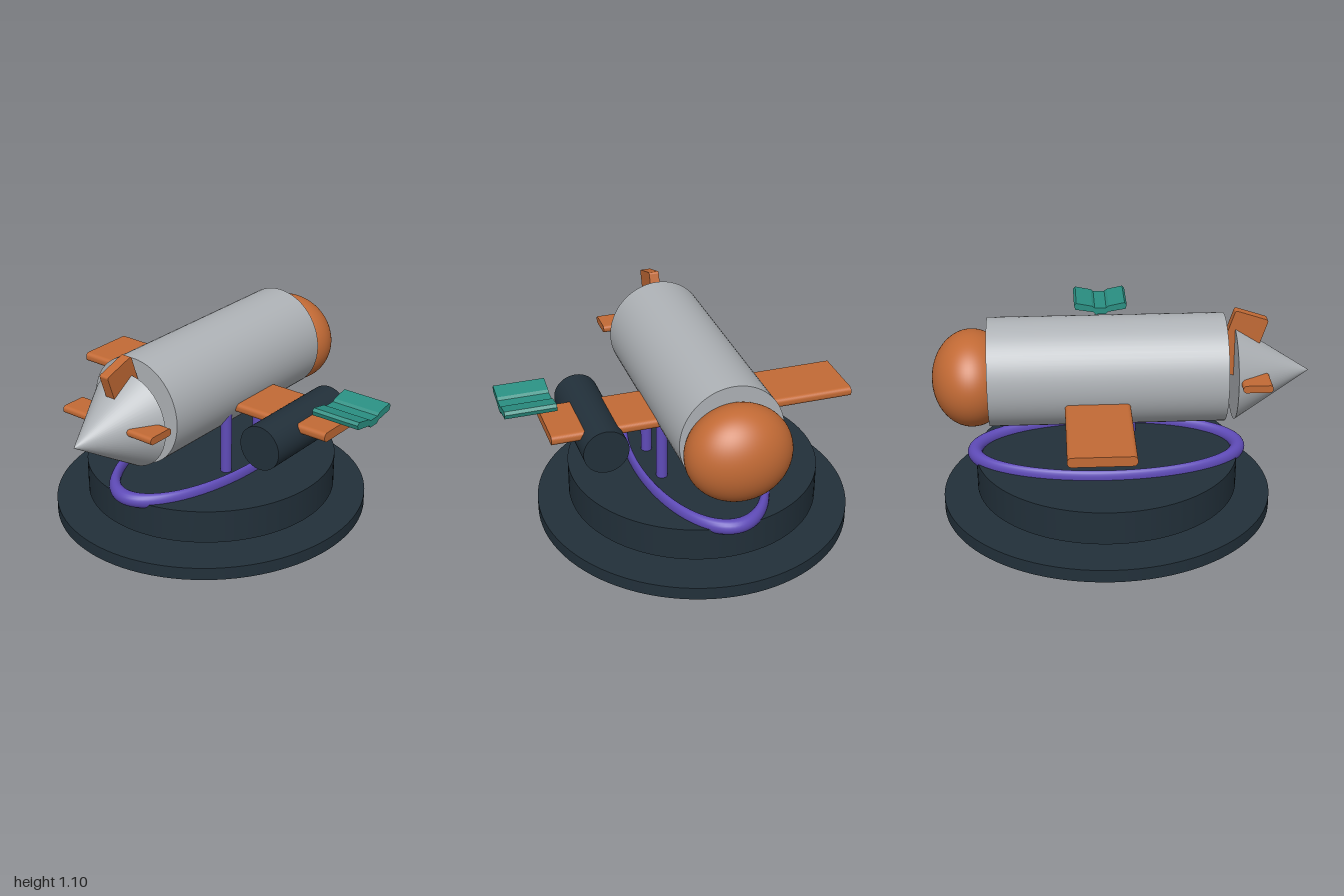
import * as THREE from 'three';

const mat = (name, color) => {
  const m = new THREE.MeshStandardMaterial({ color });
  m.name = name;
  return m;
};

// Rounded rectangle in the xy plane, centred on the origin
function roundedRect(w, h, r) {
  const s = new THREE.Shape();
  const x = w / 2, y = h / 2;
  s.moveTo(-x + r, -y);
  s.lineTo(x - r, -y).absarc(x - r, -y + r, r, -Math.PI / 2, 0);
  s.lineTo(x, y - r).absarc(x - r, y - r, r, 0, Math.PI / 2);
  s.lineTo(-x + r, y).absarc(-x + r, y - r, r, Math.PI / 2, Math.PI);
  s.lineTo(-x, -y + r).absarc(-x + r, -y + r, r, Math.PI, Math.PI * 1.5);
  return s;
}

// Flat slab of a shape, centred along z
const slab = (shape, depth) =>
  new THREE.ExtrudeGeometry(shape, { depth, bevelEnabled: false, curveSegments: 8 })
    .translate(0, 0, -depth / 2);

export function createModel() {
  const grey = mat('hull grey', 0xaeb2b6);
  const orange = mat('orange', 0xc26a35);
  const purple = mat('purple', 0x5f4bb8);
  const dark = mat('dark slate', 0x22303a);
  const teal = mat('teal', 0x2a8f82);

  const model = new THREE.Group();
  const CZ = -0.095; // centre line of hull and base
  const CX = 0.08; // centre of base

  const add = (name, geometry, material, x, y, z) => {
    const mesh = new THREE.Mesh(geometry, material);
    mesh.name = name;
    mesh.position.set(x, y, z);
    model.add(mesh);
    return mesh;
  };

  // Cylinder or cone lying along x; rLeft is the radius at the -x end
  const lying = (rLeft, rRight, length) =>
    new THREE.CylinderGeometry(rLeft, rRight, length, 64).rotateZ(Math.PI / 2);

  // Slightly oval base plates
  const plate = (rx, rz, h) => new THREE.CylinderGeometry(1, 1, h, 96).scale(rx, 1, rz);
  add('basePlate', plate(0.89, 0.851, 0.07), dark, CX, 0.035, CZ);
  add('upperPlatform', plate(0.706, 0.678, 0.184), dark, CX, 0.205, CZ);

  // Oval guard ring
  const ring = new THREE.TorusGeometry(0.713, 0.04, 20, 96).rotateX(Math.PI / 2).scale(1, 1, 0.462);
  add('guardRing', ring, purple, CX, 0.305, -0.097);

  // Struts with wheels at their feet
  for (const x of [-0.063, 0.22]) {
    add('strut', new THREE.CylinderGeometry(0.03, 0.03, 0.57, 24), purple, x, 0.365, 0.12);
    add('wheel', lying(0.1, 0.1, 0.06), dark, x, 0.17, 0.12);
  }

  // Hull, nose and tail cone
  add('hull', lying(1, 1, 1.242).scale(1, 0.29, 0.276), grey, 0.079, 0.775, CZ);
  add('nose', new THREE.SphereGeometry(1, 64, 40).scale(0.21, 0.255, 0.276), orange, 0.788, 0.745, CZ);
  add('tailCone', lying(0, 1, 0.405).scale(1, 0.256, 0.246), grey, -0.7975, 0.745, CZ);

  // Wing and tail fins
  add('mainWing', slab(roundedRect(0.34, 0.052, 0.022), 1.655), orange, 0.135, 0.671, -0.0975);
  add('tailplane', slab(roundedRect(0.155, 0.04, 0.018), 0.59), orange, -0.688, 0.776, CZ);
  const fin = add('tailFin', slab(roundedRect(0.185, 0.35, 0.012), 0.055), orange, -0.627, 0.908, CZ);
  fin.rotation.z = 0.32;

  // Engine pod
  add('enginePod', lying(0.121, 0.121, 0.625), dark, 0.078, 0.612, 0.467);

  // Floating bent vane, mirrored about its middle
  const half = [[0.03, -0.035], [0.042, -0.021], [0.146, -0.004], [0.153, 0.02],
    [0.14, 0.035], [0.048, 0.016], [0.033, 0.004]];
  const outline = [...half, ...half.map(([x, y]) => [-x, y]).reverse()];
  const vane = new THREE.Shape(outline.map(([x, y]) => new THREE.Vector2(x, y)));
  add('vane', slab(vane, 0.27), teal, CX - 0.002, 0.805, 0.81);

  return model;
}
